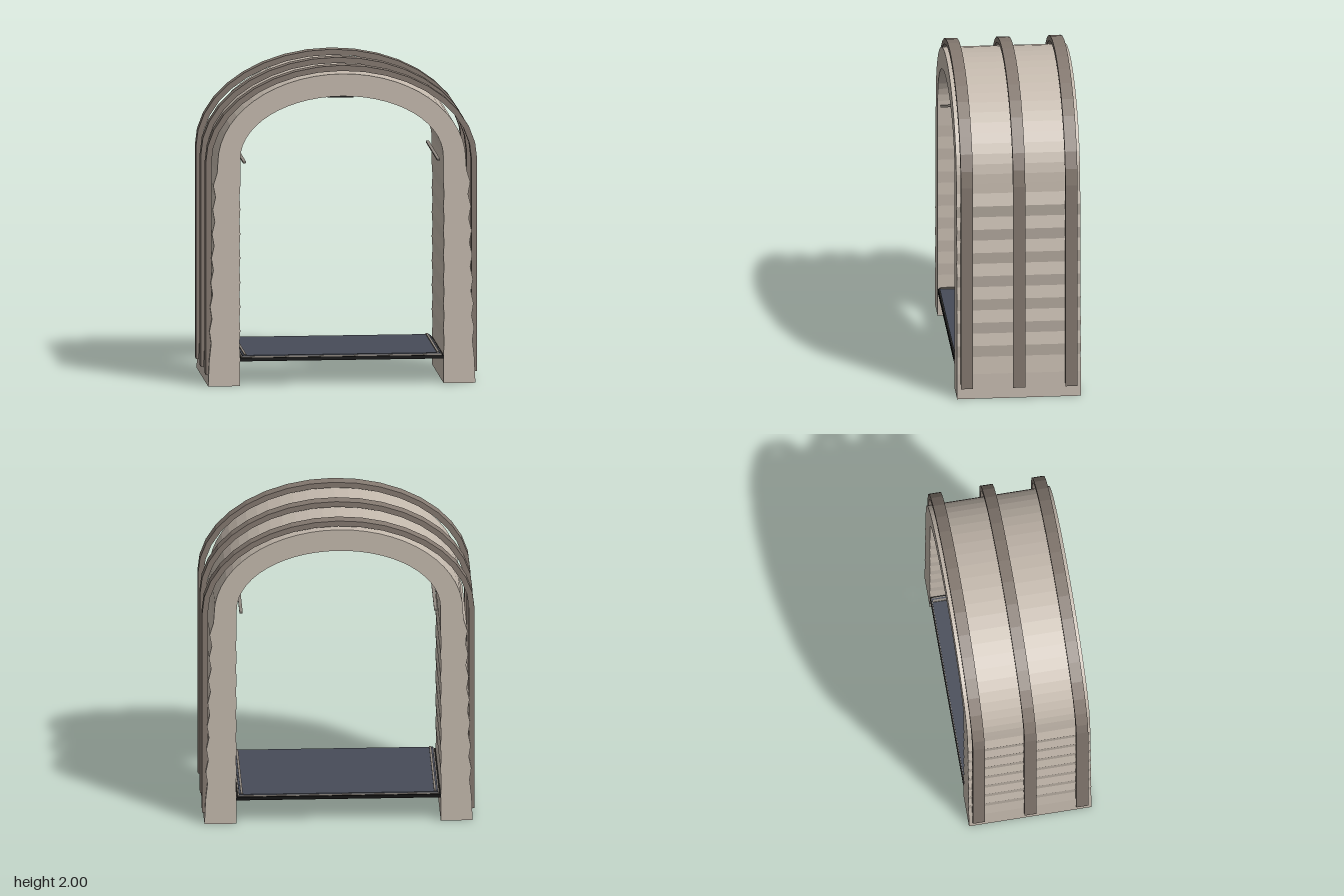
import * as THREE from 'three';

const mat = (name, color, extra = {}) => Object.assign(new THREE.MeshStandardMaterial({ color, ...extra }), { name });

// Quarter ellipse points from the springing line (x = a) up to the crown (x = 0)
function quarterArch(a, b, y0, n) {
  const pts = [];
  for (let i = 0; i <= n; i++) {
    const t = (i / n) * Math.PI / 2;
    pts.push([a * Math.cos(t), y0 + b * Math.sin(t)]);
  }
  return pts;
}

// Mirrors a right-hand run (foot to crown) into a full run from +x foot to -x foot
const mirrored = (half) => [...half, ...half.slice(0, -1).reverse().map(([x, y]) => [-x, y])];

// Solid arch between an outer and an inner run, centred on z
function archGeometry(outer, inner, depth) {
  const loop = [...mirrored(outer), ...mirrored(inner).reverse()];
  const shape = new THREE.Shape(loop.map(([x, y]) => new THREE.Vector2(x, y)));
  const geo = new THREE.ExtrudeGeometry(shape, { depth, bevelEnabled: false });
  return geo.translate(0, 0, -depth / 2);
}

export function createModel() {
  const group = new THREE.Group();
  const shellMat = mat('warm stone', 0xc6bbaf);
  const ribMat = mat('brown grey', 0x857a71);
  const blackMat = mat('black', 0x131313);
  const floorMat = mat('slate', 0x474c58);
  const trimMat = mat('trim grey', 0x8f8880);

  const add = (name, geo, material, x = 0, y = 0, z = 0) => {
    const mesh = new THREE.Mesh(geo, material);
    mesh.name = name;
    mesh.position.set(x, y, z);
    group.add(mesh);
    return mesh;
  };

  // Shell: rippled outer walls tapering upward, nearly straight inner walls
  const outer = [[0.832, 0], [0.825, 0.16]];
  const inner = [[0.634, 0], [0.634, 0.19]];
  for (let k = 0; k < 7; k++) {
    const y = 0.27 + k * 0.1525;
    outer.push([0.813 - k * 0.0045, y], [0.824 - k * 0.004, y + 0.0755]);
    inner.push([0.637, y], [0.632, y + 0.0755]);
  }
  outer.push([0.776, 1.338], ...quarterArch(0.772, 0.55, 1.4, 14));
  inner.push(...quarterArch(0.632, 0.385, 1.425, 14));
  add('shell', archGeometry(outer, inner, 0.77), shellMat);

  // Three raised ribs wrapping over the shell
  const ribOuter = [[0.845, 0.07], ...quarterArch(0.845, 0.6, 1.4, 9)];
  const ribInner = [[0.81, 0.07], ...quarterArch(0.81, 0.565, 1.4, 9)];
  const ribGeo = archGeometry(ribOuter, ribInner, 0.075);
  for (const z of [-0.325, 0, 0.325]) add('rib', ribGeo, ribMat, 0, 0, z);

  // Floor: black deck, thin trim layer and slate covering
  add('floorDeck', new THREE.BoxGeometry(1.27, 0.022, 0.77), blackMat, 0, 0.166);
  add('floorTrim', new THREE.BoxGeometry(1.25, 0.008, 0.755), trimMat, 0, 0.181);
  add('floorCovering', new THREE.BoxGeometry(1.235, 0.006, 0.75), floorMat, 0, 0.188);

  // Strips along the floor edges and rails along the upper walls
  for (const s of [-1, 1]) {
    add('floorStrip', new THREE.BoxGeometry(0.014, 0.007, 0.74), trimMat, s * 0.6, 0.194);
    add('wallRail', new THREE.BoxGeometry(0.02, 0.009, 0.74), trimMat, s * 0.604, 1.4);
  }

  // Panel hung under the crown
  add('ceilingPanel', new THREE.BoxGeometry(0.16, 0.008, 0.62), blackMat, 0, 1.794);

  return group;
}
